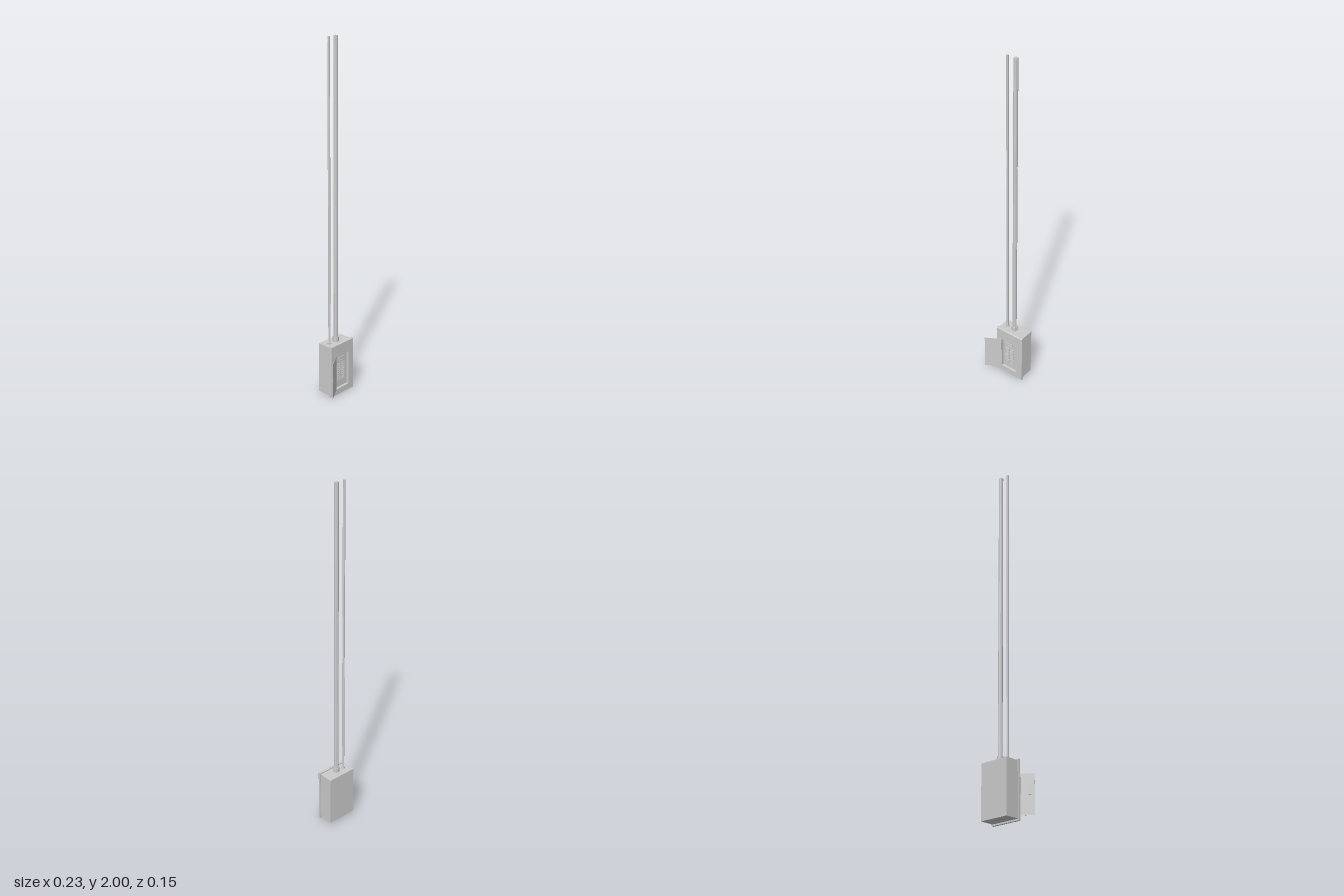
import * as THREE from 'three';

const material = new THREE.MeshStandardMaterial({ color: 0xcccccc, flatShading: true });

function add(parent, name, geometry, x, y, z) {
  const mesh = new THREE.Mesh(geometry, material);
  mesh.name = name;
  mesh.position.set(x, y, z);
  parent.add(mesh);
  return mesh;
}

function box(parent, name, w, h, d, x, y, z) {
  return add(parent, name, new THREE.BoxGeometry(w, h, d), x, y, z);
}

// Counter-clockwise rectangle from two corners
function rectangle(Type, x0, y0, x1, y1) {
  const path = new Type();
  path.moveTo(x0, y0);
  path.lineTo(x1, y0);
  path.lineTo(x1, y1);
  path.lineTo(x0, y1);
  path.closePath();
  return path;
}

export function createModel() {
  const model = new THREE.Group();
  model.name = 'electricalPanel';
  const cx = 0.021;

  // Enclosure behind the cover
  box(model, 'enclosure', 0.172, 0.296, 0.082, cx, 0.157, -0.037);

  // Front cover: straight rim, then a chamfered face, both with the door opening
  const rim = rectangle(THREE.Shape, -0.07, 0, 0.1125, 0.312);
  rim.holes.push(rectangle(THREE.Path, -0.032, 0.038, 0.072, 0.24));
  add(model, 'coverRim', new THREE.ExtrudeGeometry(rim, { depth: 0.012, bevelEnabled: false }), 0, 0, 0.004);
  const face = rectangle(THREE.Shape, -0.067, 0.003, 0.1095, 0.309);
  face.holes.push(rectangle(THREE.Path, -0.032, 0.038, 0.072, 0.24));
  const faceGeometry = new THREE.ExtrudeGeometry(face, { depth: 0.004, bevelEnabled: false });
  // Widen the back outline so the outer edge slopes
  const p = faceGeometry.attributes.position;
  for (let i = 0; i < p.count; i++) {
    const x = p.getX(i), y = p.getY(i);
    if (p.getZ(i) > 0.002) continue;
    if (x < -0.06 || x > 0.1) p.setX(i, x + Math.sign(x) * 0.003);
    if (y < 0.01 || y > 0.3) p.setY(i, y + (y > 0.1 ? 0.003 : -0.003));
  }
  faceGeometry.computeVertexNormals();
  add(model, 'coverFace', faceGeometry, 0, 0, 0.016);

  // Recessed breaker plate
  box(model, 'breakerPlate', 0.09, 0.188, 0.005, 0.02, 0.139, 0.0065);

  // Main switch and two columns of breakers
  const breakers = new THREE.Group();
  breakers.name = 'breakers';
  model.add(breakers);
  box(breakers, 'mainBreaker', 0.044, 0.01, 0.004, 0.02, 0.219, 0.011);
  box(breakers, 'mainSwitch', 0.03, 0.005, 0.004, 0.02, 0.203, 0.011);
  for (const x of [0.003, 0.037]) {
    for (let i = 0; i < 9; i++) {
      const y = 0.085 + i * 0.0122;
      box(breakers, 'breaker', 0.024, 0.009, 0.004, x, y, 0.011);
      box(breakers, 'breakerToggle', 0.008, 0.004, 0.004, x + (x < 0.02 ? 0.005 : -0.005), y, 0.014);
    }
  }

  // Open door, hinged beside the opening, with its latch on the outer side
  const door = new THREE.Group();
  door.name = 'door';
  door.position.set(-0.033, 0.138, 0.0235);
  door.rotation.y = Math.atan2(0.051, 0.081);
  model.add(door);
  box(door, 'doorPanel', 0.096, 0.211, 0.0016, -0.048, 0, 0);
  box(door, 'latch', 0.019, 0.009, 0.005, -0.075, 0, -0.0033);
  for (const y of [-0.075, 0.075]) {
    add(model, 'hinge', new THREE.CylinderGeometry(0.0018, 0.0018, 0.02, 8), -0.033, 0.138 + y, 0.0215);
  }

  // Conduits rising from collars on the top of the enclosure
  const conduits = [
    { name: 'largeConduit', x: 0.022, r: 0.0122, collar: 0.0172, top: 0.334 },
    { name: 'smallConduit', x: -0.029, r: 0.0066, collar: 0.0098, top: 0.314 },
  ];
  for (const c of conduits) {
    const low = 0.3;
    add(model, c.name, new THREE.CylinderGeometry(c.r, c.r, 2 - low, 8), c.x, (2 + low) / 2, -0.031);
    add(model, c.name + 'Collar', new THREE.CylinderGeometry(c.collar, c.collar, c.top - low, 8), c.x, (c.top + low) / 2, -0.031);
  }

  return model;
}
